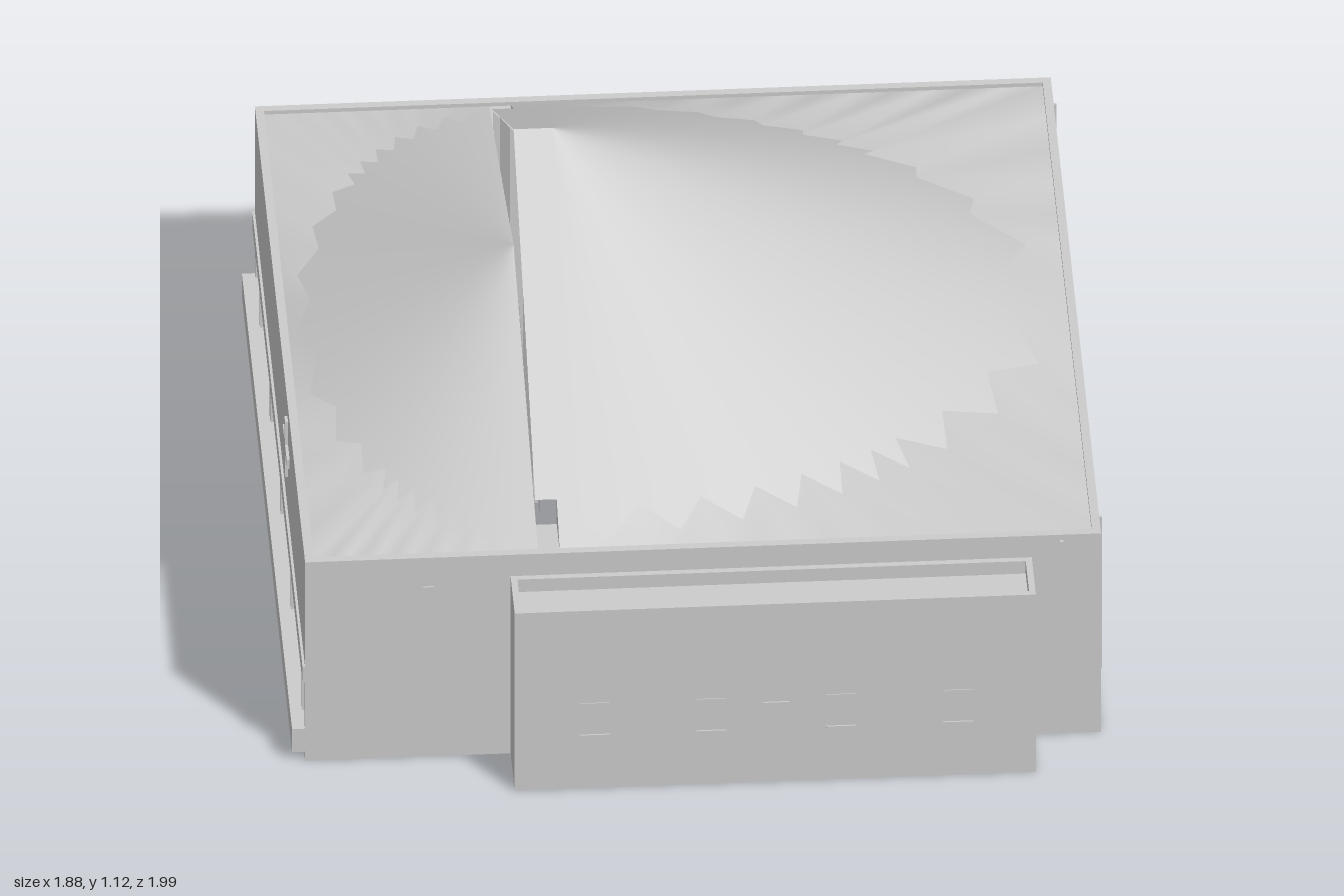
import * as THREE from 'three';

const plaster = new THREE.MeshStandardMaterial({ color: 0xcccccc, side: THREE.DoubleSide });
plaster.name = 'pale grey';

// Outer walls and the rectangle inside the parapet
const X0 = -0.91, X1 = 0.93, Z0 = -0.985, Z1 = 0.845, TOP = 0.56, T = 0.02;
const EAVE = 0.55, APEX_Z = -0.07, PEAK = 1.115, LOW_PEAK = 0.79, CUT_X = -0.37, RIDGE_X = -0.28;

export function createModel() {
  const model = new THREE.Group();

  const add = (name, geometry) => {
    const mesh = new THREE.Mesh(geometry, plaster);
    mesh.name = name;
    model.add(mesh);
    return mesh;
  };
  const box = (name, x0, x1, y0, y1, z0, z1) =>
    add(name, new THREE.BoxGeometry(x1 - x0, y1 - y0, z1 - z0))
      .position.set((x0 + x1) / 2, (y0 + y1) / 2, (z0 + z1) / 2);

  // Triangle mesh from rows of points
  const grid = (name, rows) => {
    const n = rows[0].length, index = [];
    for (let r = 0; r < rows.length - 1; r++)
      for (let i = 0; i < n - 1; i++) {
        const a = r * n + i, b = a + n;
        index.push(a, b, a + 1, a + 1, b, b + 1);
      }
    const g = new THREE.BufferGeometry();
    g.setAttribute('position', new THREE.Float32BufferAttribute(rows.flat(2), 3));
    g.setIndex(index);
    g.computeVertexNormals();
    return add(name, g);
  };

  // Half of an elliptical cone, with a folded edge that meets the square parapet
  const halfCone = (name, cx, peak, edgeX) => {
    const zf = Z1 - T, zb = Z0 + T, dir = Math.sign(edgeX - cx);
    const corners = [[cx, zf], [edgeX, zf], [edgeX, zb], [cx, zb]];
    const edge = [];
    const count = 14;
    for (let s = 0; s < 3; s++)
      for (let i = 0; i < count + (s === 2 ? 1 : 0); i++) {
        const t = i / count, [a, b] = [corners[s], corners[s + 1]];
        edge.push([a[0] + (b[0] - a[0]) * t, a[1] + (b[1] - a[1]) * t]);
      }
    const rx = Math.abs(edgeX - cx), rz = zf - APEX_Z;
    if (dir < 0) edge.reverse();
    const ring = (k) => edge.map(([x, z], i) => {
      const dx = x - cx, dz = z - APEX_Z, d = Math.hypot(dx / rx, dz / rz);
      const inner = i > 0 && i < edge.length - 1;
      const r = k * (inner ? (i % 2 ? 0.97 : 0.9) : 0.94);
      return [cx + dx / d * r, peak - (peak - EAVE) * r, APEX_Z + dz / d * r];
    });
    const rows = [0.001, 0.25, 0.5, 0.75, 0.9, 1].map(ring);
    grid(name, rows);
    grid(name + 'Edge', [rows[5], edge.map(([x, z]) => [x, EAVE, z])]);
  };
  halfCone('highRoof', RIDGE_X, PEAK, X1 - T);
  halfCone('lowRoof', CUT_X, LOW_PEAK, X0 + T);

  // Ridge strip beside the cut, notched at both eaves
  const notchY = 0.62, k = (PEAK - notchY) / (PEAK - EAVE);
  for (const end of [Z1 - T, Z0 + T]) {
    const nz = APEX_Z + (end - APEX_Z) * k, s = Math.sign(end);
    const strip = (x, y0, z0, y1, z1) => {
      const rows = [[[x, y0, z0], [RIDGE_X, y0, z0]], [[x, y1, z1], [RIDGE_X, y1, z1]]];
      if (s < 0) rows.reverse();
      grid('roofRidge', rows);
    };
    strip(CUT_X, PEAK, APEX_Z, notchY, nz);
    strip(-0.32, notchY, nz, EAVE, end);
    box('roofNotch', CUT_X, -0.32, EAVE - 0.005, EAVE, Math.min(nz, end), Math.max(nz, end));
    grid('notchCheek', [[[-0.32, EAVE, nz], [-0.32, notchY, nz]], [[-0.32, EAVE, end], [-0.32, EAVE, end]]]);
  }

  // Vertical screen between the high and low roofs
  const zA = APEX_Z + (Z1 - T - APEX_Z) * k, zB = APEX_Z + (Z0 + T - APEX_Z) * k;
  const lowEnd = LOW_PEAK - (LOW_PEAK - EAVE) * k;
  const screen = new THREE.Shape([[APEX_Z, PEAK], [zA, notchY], [zA, lowEnd],
    [APEX_Z, LOW_PEAK], [zB, lowEnd], [zB, notchY]].map((p) => new THREE.Vector2(-p[0], p[1])));
  const screenMesh = add('roofScreen', new THREE.ShapeGeometry(screen));
  screenMesh.rotation.y = Math.PI / 2;
  screenMesh.position.x = CUT_X + 0.01;
  for (let i = 1; i < 44; i++) {
    const z = zB + (zA - zB) * i / 44;
    const t = Math.abs(z - APEX_Z) / Math.abs((z > APEX_Z ? Z1 - T : Z0 + T) - APEX_Z);
    box('screenSlat', CUT_X, CUT_X + 0.01, LOW_PEAK - (LOW_PEAK - EAVE) * t,
      PEAK - (PEAK - EAVE) * t - 0.003, z - 0.004, z + 0.004);
  }

  // Walls, rising to a parapet
  box('frontWall', X0, X1, 0, TOP, Z1 - T, Z1);
  box('backWall', X0, X1, 0, TOP, Z0, Z0 + T);
  box('leftWall', X1 - T, X1, 0, TOP, Z0 + T, Z1 - T);
  box('rightWall', X0, X0 + T, 0.22, TOP, Z0 + T, Z1 - T);
  box('porchBeam', X0 - 0.006, X0, 0.22, 0.265, Z0, Z1);

  // Tall slit windows
  for (const z of [0.57, 0.315, 0.055, -0.195, -0.45, -0.71])
    box('leftWindow', X1, X1 + 0.005, 0.14, 0.48, z - 0.0125, z + 0.0125);
  for (const x of [-0.61, -0.3, 0.01, 0.32, 0.62])
    box('backWindow', x - 0.0125, x + 0.0125, 0.14, 0.48, Z0 - 0.005, Z0);
  box('frontWindow', -0.6375, -0.6125, 0.14, 0.48, Z1, Z1 + 0.004);
  for (const z of [0.755, -0.9]) box('leftDownpipe', X1, X1 + 0.008, 0.12, 0.545, z - 0.003, z + 0.003);
  box('frontDownpipe', 0.835, 0.843, 0.22, 0.545, Z1, Z1 + 0.008);
  box('backDownpipe', 0.835, 0.841, 0.12, 0.545, Z0 - 0.006, Z0);

  // Open porch along the right side
  box('porchFloor', -0.94, -0.65, 0.025, 0.09, Z0 + 0.001, Z1 - 0.001);
  box('porchBackWall', -0.66, -0.65, 0.09, 0.25, -0.65, Z1 - T);
  box('porchEndWall', -0.66, -0.4, 0.02, 0.25, -0.66, -0.65);
  box('porchRearFloor', -0.65, -0.4, 0.025, 0.09, Z0 + T, -0.66);
  for (const z of [0.755, 0.35, -0.03, -0.4, -0.78])
    box('porchColumn', -0.912, -0.885, 0.015, 0.225, z - 0.0135, z + 0.0135);

  // Cross on the right wall
  box('crossUpright', X0 - 0.007, X0, 0.365, 0.52, 0.2, 0.225);
  box('crossBar', X0 - 0.007, X0, 0.43, 0.455, 0.14, 0.285);

  // Front annex with a sunken flat roof
  const A0 = -0.435, A1 = 0.77, AF = 0.995, AT = 0.5, W = 0.015;
  box('annexFront', A0, A1, 0, AT, AF - W, AF);
  box('annexRear', A0, A1, 0.3, AT, Z1, Z1 + W);
  box('annexRightSide', A0, A0 + W, 0, AT, Z1, AF - W);
  box('annexLeftSide', A1 - W, A1, 0, AT, Z1, AF - W);
  box('annexRoof', A0 + W, A1 - W, 0.45, 0.465, Z1 + W, AF - W);
  box('door', 0.14, 0.2, 0.075, 0.225, AF, AF + 0.004);
  for (const x of [-0.25, 0.02, 0.32, 0.59]) {
    box('annexWindow', x - 0.035, x + 0.035, 0.15, 0.24, AF, AF + 0.002);
    box('windowSill', x - 0.035, x + 0.035, 0.147, 0.153, AF, AF + 0.006);
  }
  return model;
}
